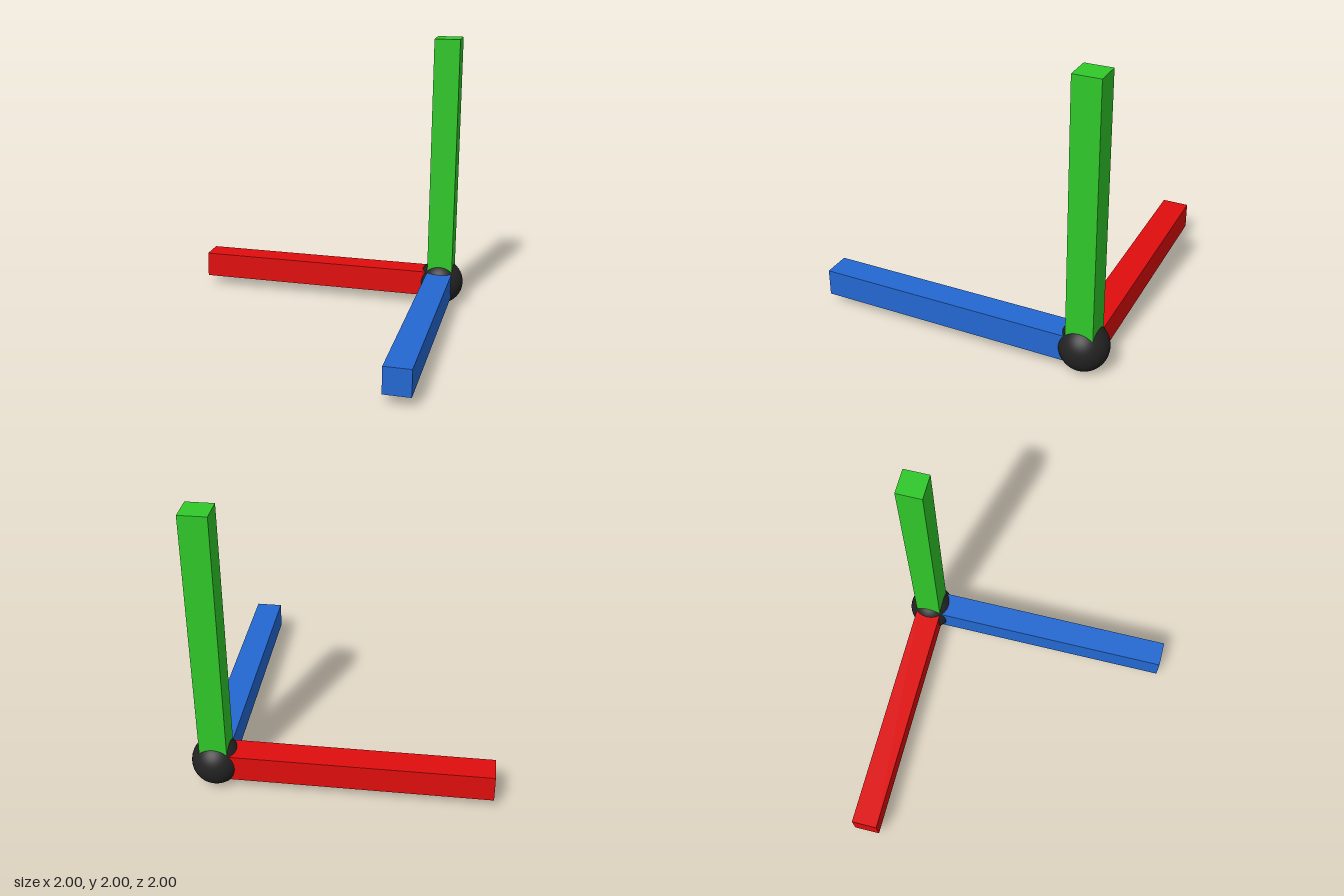
import * as THREE from 'three';

const LENGTH = 1.835; // arm length, measured from the hub centre
const WIDTH = 0.1835; // square arm section
const RADIUS = 0.165; // hub radius

// Square arm running from the hub centre along a unit axis.
function makeArm(name, axis, color) {
  const size = [0, 1, 2].map((i) => (axis.getComponent(i) !== 0 ? LENGTH : WIDTH));
  const arm = new THREE.Mesh(
    new THREE.BoxGeometry(...size),
    new THREE.MeshStandardMaterial({ color })
  );
  arm.name = name;
  arm.position.copy(axis).multiplyScalar(LENGTH / 2);
  return arm;
}

export function createModel() {
  const model = new THREE.Group();
  model.name = 'axisTripod';

  // Ball where the three arms meet
  const hub = new THREE.Mesh(
    new THREE.SphereGeometry(RADIUS, 48, 32),
    new THREE.MeshStandardMaterial({ color: 0x222222 })
  );
  hub.name = 'hub';

  // Three mutually perpendicular arms
  model.add(
    hub,
    makeArm('sideArm', new THREE.Vector3(-1, 0, 0), 0xe00d0d),
    makeArm('uprightArm', new THREE.Vector3(0, 1, 0), 0x30c82a),
    makeArm('frontArm', new THREE.Vector3(0, 0, 1), 0x2368d2)
  );

  // Hub sits in the back left corner, resting on the ground
  model.position.set(1 - RADIUS, RADIUS, RADIUS - 1);
  const root = new THREE.Group();
  root.name = 'model';
  root.add(model);
  return root;
}
